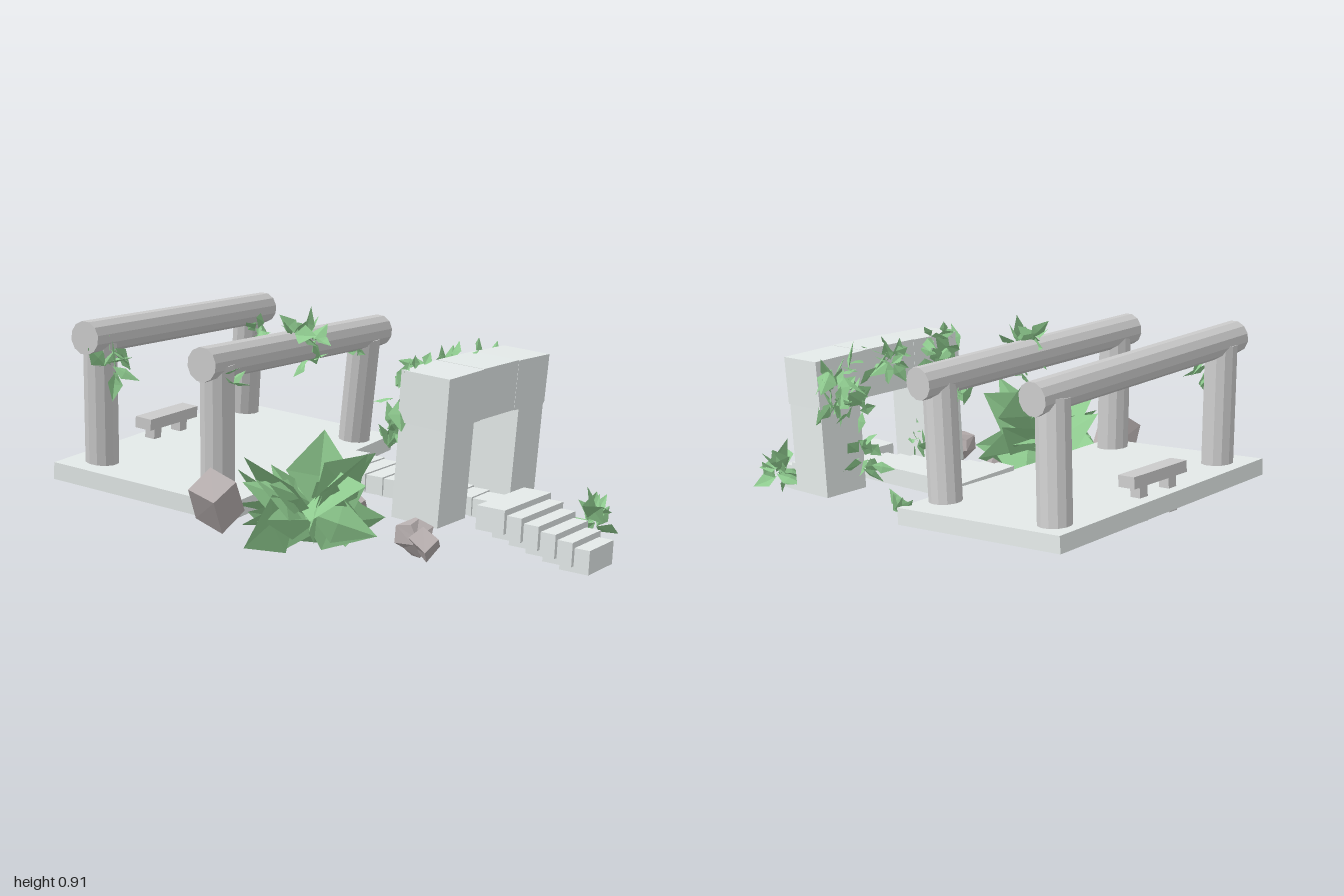
import * as THREE from 'three';

const V = (x, y, z) => new THREE.Vector3(x, y, z);
const mat = (color, extra = {}) => new THREE.MeshStandardMaterial({ color, flatShading: true, ...extra });
const UP = V(0, 1, 0);

export function createModel() {
  const model = new THREE.Group();
  const stone = mat(0xe4eae9), pillar = mat(0xc2bebe), rockMat = mat(0xb6aeae);
  const leafMat = mat(0x8fcb8f, { side: THREE.DoubleSide });

  let seed = 7;
  const rnd = (a = 0, b = 1) => {
    seed = (seed * 16807) % 2147483647;
    return a + (b - a) * (seed / 2147483647);
  };

  const add = (parent, name, geo, material, pos) => {
    const m = new THREE.Mesh(geo, material);
    m.name = name;
    m.position.copy(pos);
    parent.add(m);
    return m;
  };
  const box = (parent, name, w, h, d, pos, material = stone) =>
    add(parent, name, new THREE.BoxGeometry(w, h, d), material, pos);

  // Turn an object so its y axis follows up and its x axis runs near dir
  const orient = (obj, dir, up) => {
    const y = up.clone().normalize();
    const x = dir.clone().addScaledVector(y, -dir.dot(y)).normalize();
    obj.quaternion.setFromRotationMatrix(new THREE.Matrix4().makeBasis(x, y, x.clone().cross(y)));
  };
  const group = (name, pos, parent = model) => {
    const g = new THREE.Group();
    g.name = name;
    g.position.copy(pos);
    parent.add(g);
    return g;
  };
  const log = (name, a, b, r) => {
    const m = add(model, name, new THREE.CylinderGeometry(r, r, a.distanceTo(b), 12), pillar,
      a.clone().add(b).multiplyScalar(0.5));
    m.quaternion.setFromUnitVectors(UP, b.clone().sub(a).normalize());
  };

  // Tilted platform slab
  const slabUp = V(0.037, 1, 0.125);
  const slab = group('platform', V(-0.27, 0.307, -0.202));
  orient(slab, V(0.74, 0, -0.675), slabUp);
  box(slab, 'platformSlab', 1.275, 0.065, 0.765, V(0, 0, 0));

  // Leaning columns carrying two long beams
  [
    ['columnBackRight', V(-0.06, 0.34, -0.765), V(-0.065, 0.83, -0.65)],
    ['columnFrontRight', V(0.275, 0.26, -0.315), V(0.285, 0.76, -0.2)],
    ['columnBackLeft', V(-0.815, 0.27, -0.06), V(-0.825, 0.81, -0.01)],
    ['columnFrontLeft', V(-0.48, 0.19, 0.36), V(-0.49, 0.75, 0.4)],
  ].forEach(([name, a, b]) => log(name, a, b, 0.064));
  log('beamBack', V(-0.895, 0.82, 0.055), V(0.015, 0.843, -0.7), 0.063);
  log('beamFront', V(-0.56, 0.755, 0.45), V(0.37, 0.778, -0.265), 0.063);

  // Small bench on two posts that reach through the slab
  const bench = group('bench', V(-0.48, 0.443, -0.41));
  orient(bench, V(0.77, 0, -0.64), slabUp);
  box(bench, 'benchSeat', 0.31, 0.045, 0.075, V(0, 0, 0), pillar);
  for (const s of [-1, 1]) box(bench, 'benchLeg', 0.045, 0.16, 0.045, V(s * 0.085, -0.08, 0), pillar);

  // Stone archway: two piers and a lintel
  const arch = group('archway', V(0.468, 0.185, 0.406));
  orient(arch, V(0.8, 0, -0.59), V(0.04, 1, 0.1));
  for (const s of [-1, 1]) box(arch, 'archPier', 0.195, 0.36, 0.195, V(s * 0.264, 0.18, 0));
  for (const s of [-1, 1])
    box(arch, 'lintelBlock', 0.24, 0.19, 0.2, V(s * 0.248, 0.453, 0)).rotation.z = -s * 0.02;
  box(arch, 'lintelKeystone', 0.26, 0.19, 0.198, V(0, 0.457, 0));

  // Stairs: narrowing run from the platform, then a wider flight past the arch
  const run = V(0.64, 0, 0.77);
  const step = (name, t, y, w, h, d, dir) => {
    const p = V(0.11, y - h / 2, 0.02).addScaledVector(run, t);
    orient(box(model, name, w, h, d, p), dir, V(0.02, 1, 0.06));
  };
  for (let i = 0; i < 10; i++)
    step('upperStep', i * 0.07, 0.315 - i * 0.0095, 0.3 - i * 0.019, 0.07, 0.085, V(0.77, 0, -0.64));
  for (let i = 0; i < 6; i++)
    step('lowerStep', 0.74 + i * 0.058, 0.232 - i * 0.026, 0.36 - i * 0.033, 0.09, 0.115, V(0.8, 0, -0.6));

  // Fallen rocks: boxes and lumps with nudged corners
  const rock = (name, geo, pos, rot, jitter) => {
    const p = geo.attributes.position, moved = {};
    for (let i = 0; i < p.count; i++) {
      const key = [p.getX(i), p.getY(i), p.getZ(i)].map(v => v.toFixed(3)).join();
      const o = moved[key] ||= [rnd(-jitter, jitter), rnd(-jitter, jitter), rnd(-jitter, jitter)];
      p.setXYZ(i, p.getX(i) + o[0], p.getY(i) + o[1], p.getZ(i) + o[2]);
    }
    geo.computeVertexNormals();
    add(model, name, geo, rockMat, pos).rotation.set(...rot);
  };
  rock('rockLeft', new THREE.BoxGeometry(0.13, 0.15, 0.13), V(-0.52, 0.275, 0.48), [0.4, 0.6, 0.35], 0.01);
  rock('rockMiddle', new THREE.BoxGeometry(0.15, 0.13, 0.14), V(0.015, 0.165, 0.27), [0.6, 0.35, 0.45], 0.01);
  rock('rockFront', new THREE.DodecahedronGeometry(0.07, 0), V(0.12, 0.165, 0.78), [0.3, 0.5, 0.2], 0.012);
  rock('pebble', new THREE.BoxGeometry(0.07, 0.06, 0.07), V(0.13, 0.15, 0.85), [0.5, 0.3, 0.6], 0.008);

  // Leaf: a folded diamond growing along +y
  const leafGeo = new THREE.BufferGeometry();
  leafGeo.setAttribute('position', new THREE.Float32BufferAttribute(
    [0, 0, 0, -0.24, 0.42, 0.1, 0, 1, 0.08, 0.24, 0.42, 0.1, 0, 0.45, 0], 3));
  leafGeo.setIndex([0, 4, 1, 1, 4, 2, 0, 3, 4, 4, 3, 2]);
  leafGeo.computeVertexNormals();
  const leaf = (parent, pos, dir, size, width, roll) => {
    const m = add(parent, 'leaf', leafGeo, leafMat, pos);
    m.quaternion.setFromUnitVectors(UP, dir.normalize())
      .multiply(new THREE.Quaternion().setFromAxisAngle(UP, roll));
    m.scale.set(size * width, size, size);
  };

  // Big spiky bush with broad leaves
  const bush = group('bush', V(-0.21, 0.22, 0.61));
  for (let i = 0; i < 26; i++) {
    const a = i * 2.4, h = -0.5 + 1.7 * (i / 25);
    leaf(bush, V(rnd(-0.05, 0.05), rnd(-0.04, 0.05), rnd(-0.04, 0.04)),
      V(Math.cos(a) * 1.3, h, Math.sin(a) * 0.6), rnd(0.22, 0.32), rnd(1.1, 1.9), rnd(0, 6.28));
  }

  // Leaf clusters in a box of half size s; flat squeezes leaf directions along z
  const cluster = (name, parent, c, s, count, size, bias = V(0, 0, 0), flat = 1) => {
    const g = group(name, c, parent);
    for (let i = 0; i < count; i++)
      leaf(g, V(rnd(-s.x, s.x), rnd(-s.y, s.y), rnd(-s.z, s.z)),
        V(rnd(-1, 1), rnd(-1, 1), rnd(-1, 1) * flat).add(bias),
        size * rnd(0.7, 1.2), rnd(1, 1.6), rnd(0, 6.28));
  };
  cluster('vineBackLeft', model, V(-0.8, 0.74, 0.04), V(0.03, 0.05, 0.02), 16, 0.1, V(0, 0, 0), 0.5);
  cluster('vineBeamMiddle', model, V(-0.09, 0.785, 0.12), V(0.07, 0.04, 0.04), 22, 0.1, V(0, 0, 0), 0.7);
  cluster('vineBeamUnder', model, V(-0.04, 0.7, 0.07), V(0.02, 0.02, 0.02), 4, 0.07, V(0, -0.5, 0));
  cluster('vineFrontLeft', model, V(-0.46, 0.69, 0.43), V(0.03, 0.02, 0.02), 7, 0.07);
  cluster('vineBackRight', model, V(-0.04, 0.775, -0.6), V(0.02, 0.03, 0.03), 10, 0.095, V(0, -0.6, 0));
  cluster('vineFrontRight', model, V(0.22, 0.7, -0.14), V(0.02, 0.02, 0.03), 4, 0.06);
  cluster('platformSprig', model, V(0.44, 0.3, -0.31), V(0.01, 0.02, 0.02), 5, 0.08, V(0, 1, 0));
  cluster('stepPlant', model, V(0.88, 0.14, 0.63), V(0.03, 0.03, 0.01), 14, 0.12, V(0, 0.4, 0), 0.4);

  // Ivy over the back of the archway, in the arch's own frame
  const ivy = (name, x, y, sx, sy, count, size) =>
    cluster(name, arch, V(x, y, -0.13), V(sx, sy, 0.025), count, size, V(0, 0, 0), 0.35);
  ivy('ivyLeftPier', -0.28, 0.37, 0.09, 0.13, 44, 0.1);
  ivy('ivyRightPier', 0.25, 0.42, 0.09, 0.11, 40, 0.1);
  ivy('ivyRightLow', 0.19, 0.14, 0.04, 0.05, 12, 0.09);
  ivy('ivyLintel', 0, 0.51, 0.06, 0.03, 18, 0.09);
  cluster('ivyTopLeft', arch, V(-0.25, 0.545, -0.09), V(0.09, 0.005, 0.02), 9, 0.07, V(0, 0, -0.4));
  cluster('ivyInner', arch, V(-0.15, 0.17, -0.06), V(0.01, 0.1, 0.03), 10, 0.085, V(0, 0, 0), 0.6);

  return model;
}
